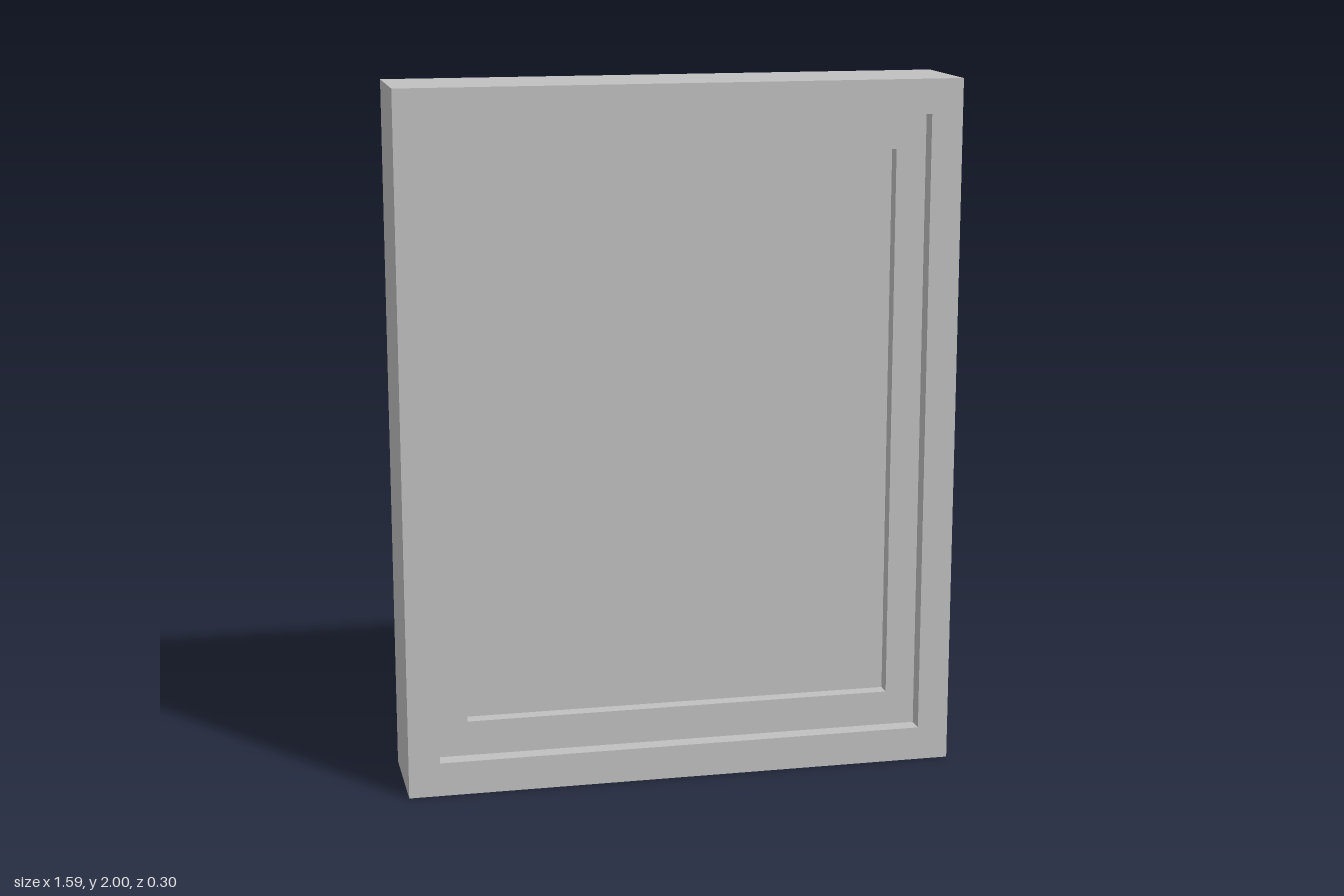
import * as THREE from 'three';

const BOTTOM_TO_CENTRE = 1;

// Rectangular ring centred on the origin, extruded evenly to front and back
function ringGeometry(outerW, outerH, innerW, innerH, depth) {
  const rect = (path, w, h) => path
    .moveTo(-w / 2, -h / 2).lineTo(w / 2, -h / 2)
    .lineTo(w / 2, h / 2).lineTo(-w / 2, h / 2).closePath();
  const shape = rect(new THREE.Shape(), outerW, outerH);
  shape.holes.push(rect(new THREE.Path(), innerW, innerH));
  return new THREE.ExtrudeGeometry(shape, { depth, bevelEnabled: false })
    .translate(0, 0, -depth / 2);
}

export function createModel() {
  const group = new THREE.Group();
  group.name = 'window';
  const grey = new THREE.MeshStandardMaterial({ color: 0xc0c0c0 });
  grey.name = 'light grey';

  const add = (name, geometry) => {
    const mesh = new THREE.Mesh(geometry, grey);
    mesh.name = name;
    mesh.position.y = BOTTOM_TO_CENTRE;
    group.add(mesh);
  };

  // Deep outer frame, shallower sash inside it, thin pane in the middle
  add('outerFrame', ringGeometry(1.594, 2, 1.414, 1.804, 0.304));
  add('sash', ringGeometry(1.414, 1.804, 1.242, 1.602, 0.204));
  add('pane', new THREE.BoxGeometry(1.242, 1.602, 0.12));

  return group;
}
